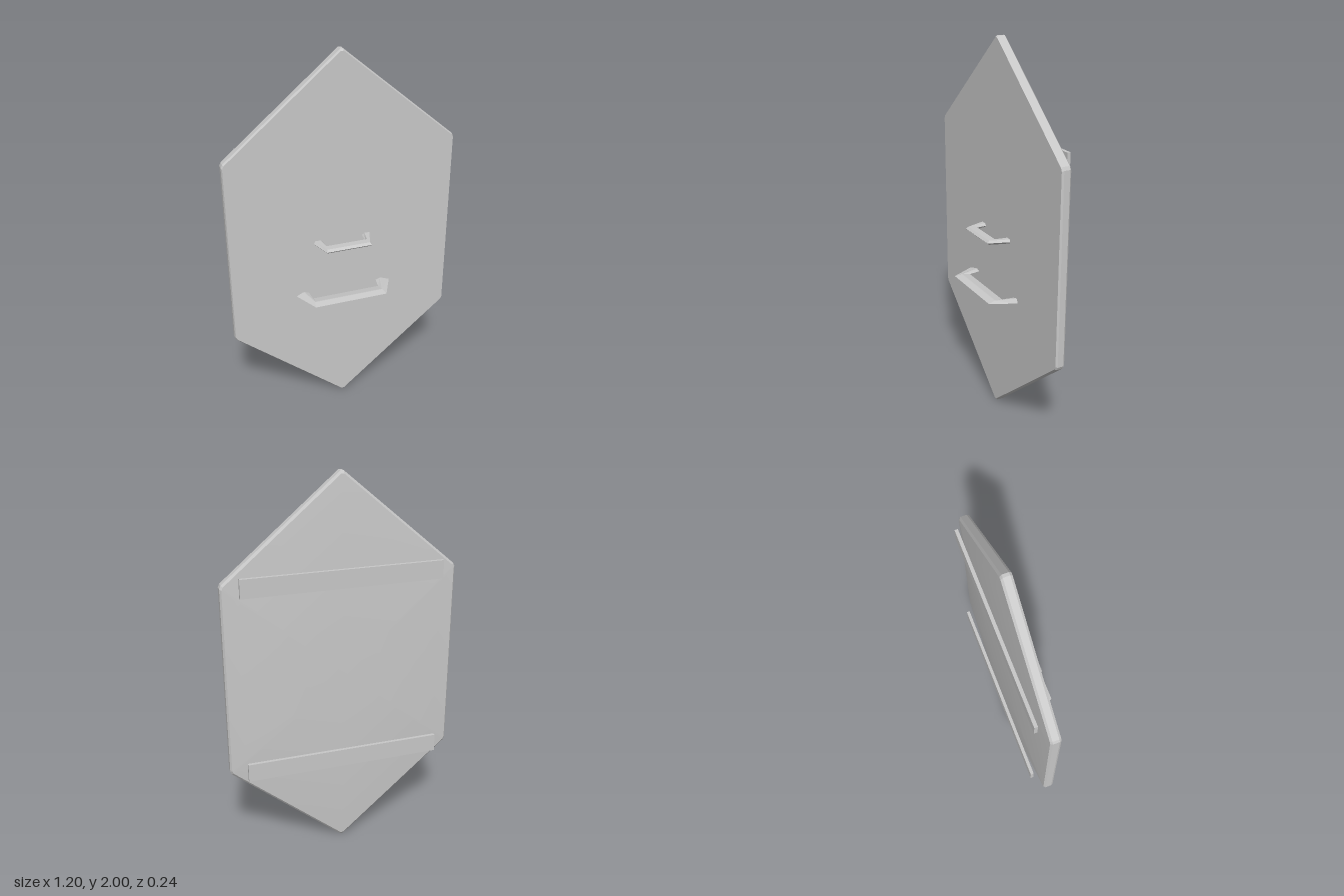
import * as THREE from 'three';
import { toCreasedNormals } from 'three/addons/utils/BufferGeometryUtils.js';

// Skins a list of equal-length rings, with optional flat caps at both ends
function loft(rings, closeEnds = true) {
  const pos = [];
  const n = rings[0].length;
  const tri = (a, b, c) => pos.push(...a, ...b, ...c);
  for (let r = 0; r < rings.length - 1; r++) {
    for (let i = 0; i < n; i++) {
      const j = (i + 1) % n;
      const [a, b] = [rings[r][i], rings[r][j]];
      const [c, d] = [rings[r + 1][j], rings[r + 1][i]];
      tri(a, b, c);
      tri(a, c, d);
    }
  }
  if (closeEnds) {
    const last = rings[rings.length - 1];
    for (let i = 1; i < n - 1; i++) {
      tri(rings[0][0], rings[0][i + 1], rings[0][i]);
      tri(last[0], last[i], last[i + 1]);
    }
  }
  const g = new THREE.BufferGeometry();
  g.setAttribute('position', new THREE.Float32BufferAttribute(pos, 3));
  g.computeVertexNormals();
  return g;
}

// Tall hexagon with slightly blunted corners, counter-clockwise from the front
const corners = [[0, 1], [-0.6, 0.5], [-0.6, -0.5], [0, -1], [0.6, -0.5], [0.6, 0.5]];
function hexRing(inset, z, scale = 1) {
  const ring = [];
  corners.forEach(([x, y], i) => {
    for (const k of [5, 1]) {
      const [nx, ny] = corners[(i + k) % 6];
      const t = 0.01 / Math.hypot(nx - x, ny - y);
      const px = x + (nx - x) * t, py = y + (ny - y) * t;
      const f = scale * (1 - inset) * (Math.abs(y) === 1 ? 1 / (1 - 0.0065) : 1);
      ring.push([px * f, 1 + py * f, z]);
    }
  });
  return ring;
}

// Bar bent into three straight runs, with a bevelled six-sided section.
// Each edge line is [footX, footZ, cornerX, cornerZ]
function handle(y, halfHeight, outer, ridgeOut, ridgeIn, inner) {
  const section = [[outer, 0], [ridgeOut, 1], [ridgeIn, 1], [inner, 0], [ridgeIn, -1], [ridgeOut, -1]];
  const ring = (sign, k) => section.map(([e, v]) => [sign * e[k], y + v * halfHeight, e[k + 1]]);
  return loft([ring(1, 0), ring(1, 2), ring(-1, 2), ring(-1, 0)]);
}

export function createModel() {
  const model = new THREE.Group();
  const grey = new THREE.MeshStandardMaterial({ color: 0xc8c8c8, side: THREE.DoubleSide });
  const add = (name, geometry) => {
    const mesh = new THREE.Mesh(geometry, grey);
    mesh.name = name;
    model.add(mesh);
    return mesh;
  };

  // Flat front plate with a bevelled rim
  add('shieldPlate', loft([
    hexRing(0.014, -0.078), hexRing(0, -0.068), hexRing(0, -0.036), hexRing(0.008, -0.026),
  ]));

  // Shallow bulge on the back
  const domeRings = [0.001, 0.15, 0.3, 0.45, 0.6, 0.75, 0.88, 1].map((s) =>
    hexRing(0.014, -0.078 - 0.03 * (1 - Math.pow(s, 2.3)), s));
  add('backDome', toCreasedNormals(loft(domeRings, false), 0.5));

  // Two horizontal straps across the back
  for (const [name, y] of [['upperBackStrap', 1.495], ['lowerBackStrap', 0.515]]) {
    add(name, new THREE.BoxGeometry(1.03, 0.095, 0.017)).position.set(0, y, -0.1145);
  }

  // Grips on the front
  add('upperHandle', handle(1.005, 0.011,
    [0.157, -0.02, 0.12, 0.087], [0.148, -0.026, 0.114, 0.075],
    [0.12, -0.03, 0.11, 0.04], [0.107, -0.03, 0.105, 0.03]));
  add('lowerHandle', handle(0.711, 0.007,
    [0.26, -0.01, 0.195, 0.12], [0.218, -0.028, 0.187, 0.082],
    [0.214, -0.03, 0.185, 0.078], [0.19, -0.03, 0.18, 0.036]));

  return model;
}
